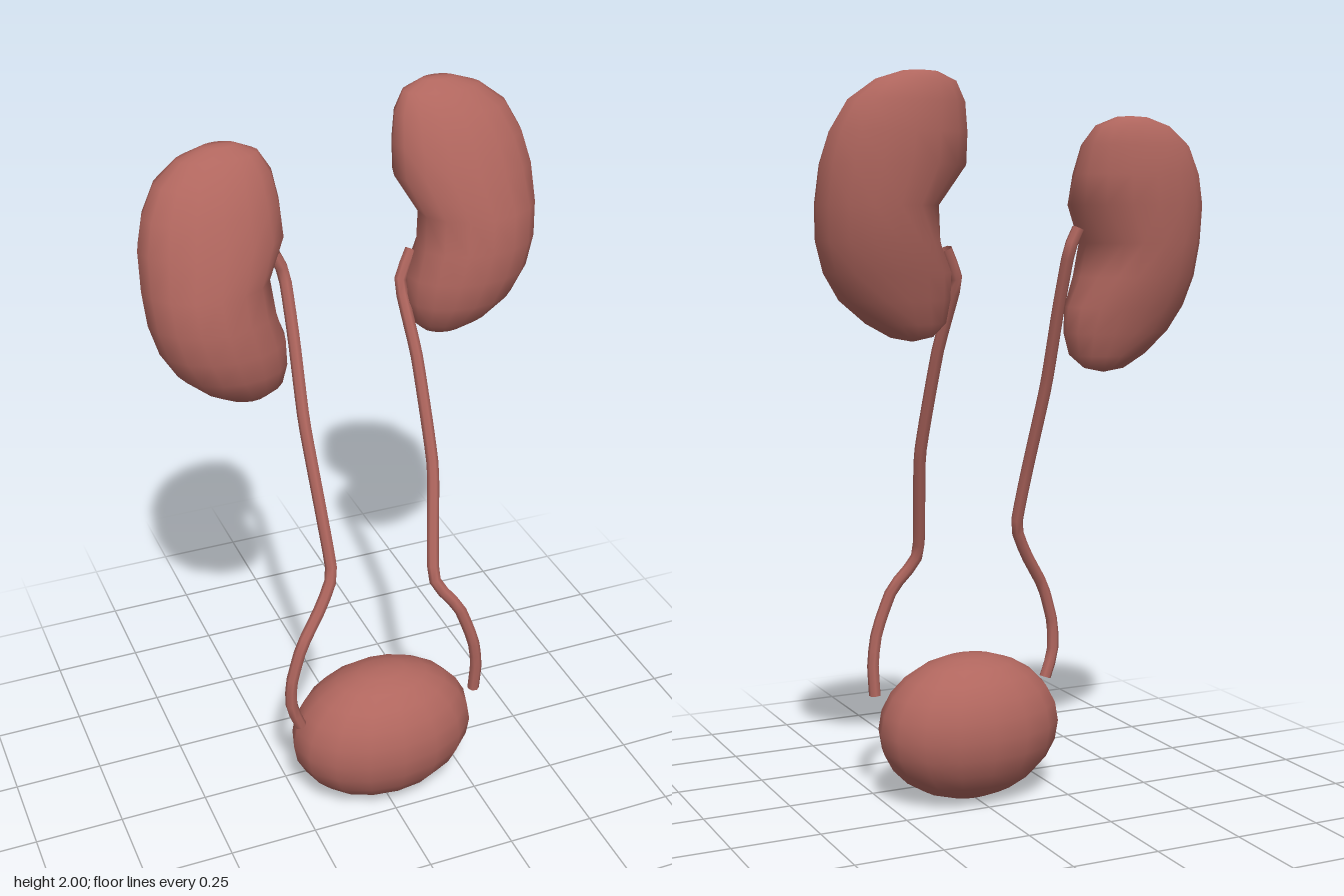
import * as THREE from 'three';
import { mergeVertices } from 'three/addons/utils/BufferGeometryUtils.js';

const material = new THREE.MeshStandardMaterial({ color: 0xb0665e, side: THREE.DoubleSide });

// Kidney cross-sections from top to bottom: y, inner x, outer x, centre z, half depth
const KIDNEY = [
  [2.0, 0.295, 0.295, -0.235, 0],
  [1.997, 0.255, 0.345, -0.235, 0.025],
  [1.975, 0.2, 0.415, -0.227, 0.055],
  [1.925, 0.17, 0.482, -0.21, 0.088],
  [1.85, 0.158, 0.522, -0.192, 0.112],
  [1.77, 0.155, 0.542, -0.175, 0.127],
  [1.67, 0.204, 0.545, -0.153, 0.137],
  [1.58, 0.195, 0.538, -0.137, 0.136],
  [1.5, 0.175, 0.515, -0.125, 0.124],
  [1.43, 0.174, 0.472, -0.118, 0.106],
  [1.37, 0.187, 0.402, -0.122, 0.08],
  [1.335, 0.225, 0.34, -0.13, 0.045],
  [1.323, 0.28, 0.28, -0.13, 0],
];

function kidneyGeometry(side, dy) {
  const n = 16, pos = [], idx = [];
  for (const [y, x0, x1, zc, zh] of KIDNEY) {
    for (let j = 0; j < n; j++) {
      const a = (j / n) * Math.PI * 2;
      // shallow hollow on the inner back where the duct enters
      const toHilum = Math.max(0, Math.cos(a - Math.PI * 1.17));
      const dent = 0.035 * toHilum ** 6 * Math.exp(-(((y - 1.63) / 0.07) ** 2));
      const x = (x0 + x1) / 2 + ((x1 - x0) / 2) * Math.cos(a) + dent;
      pos.push(side * x, y + dy, zc + zh * Math.sin(a));
    }
  }
  for (let i = 0; i < KIDNEY.length - 1; i++) {
    for (let j = 0; j < n; j++) {
      const k = (j + 1) % n;
      const a = i * n + j, b = i * n + k, c = a + n, d = b + n;
      if (side > 0) idx.push(a, b, c, b, d, c);
      else idx.push(a, c, b, b, c, d);
    }
  }
  const geo = new THREE.BufferGeometry();
  geo.setAttribute('position', new THREE.Float32BufferAttribute(pos, 3));
  geo.setIndex(idx);
  const welded = mergeVertices(geo);
  welded.computeVertexNormals();
  return welded;
}

// Centre lines of the two ducts, kidney to bladder
const LEFT_DUCT = [
  [0.2, 1.56, -0.16], [0.163, 1.48, -0.145], [0.17, 1.38, -0.1], [0.18, 1.28, -0.06],
  [0.185, 1.0, 0.045], [0.15, 0.71, 0.145], [0.215, 0.61, 0.175],
  [0.258, 0.49, 0.185], [0.272, 0.4, 0.182], [0.27, 0.31, 0.175],
];
const RIGHT_DUCT = [
  [-0.185, 1.61, -0.16], [-0.16, 1.55, -0.155], [-0.157, 1.39, -0.1], [-0.16, 1.18, -0.025],
  [-0.147, 0.94, 0.06], [-0.138, 0.77, 0.11], [-0.18, 0.68, 0.13],
  [-0.243, 0.58, 0.15], [-0.277, 0.465, 0.155], [-0.277, 0.38, 0.153], [-0.252, 0.31, 0.15],
];

function ductGeometry(points) {
  const curve = new THREE.CatmullRomCurve3(points.map((p) => new THREE.Vector3(...p)), false, 'catmullrom', 0.25);
  return new THREE.TubeGeometry(curve, 32, 0.017, 7);
}

export function createModel() {
  const model = new THREE.Group();
  const add = (name, geometry) => {
    const mesh = new THREE.Mesh(geometry, material);
    mesh.name = name;
    model.add(mesh);
    return mesh;
  };

  // Kidneys: the right one sits a little lower
  add('leftKidney', kidneyGeometry(1, 0));
  add('rightKidney', kidneyGeometry(-1, -0.1));

  // Ureters
  add('leftUreter', ductGeometry(LEFT_DUCT));
  add('rightUreter', ductGeometry(RIGHT_DUCT));

  // Bladder: a wide ellipsoid
  const bladder = add('bladder', new THREE.SphereGeometry(1, 16, 12));
  bladder.scale.set(0.269, 0.208, 0.183);
  bladder.position.set(0.007, 0.208, 0.118);

  return model;
}
